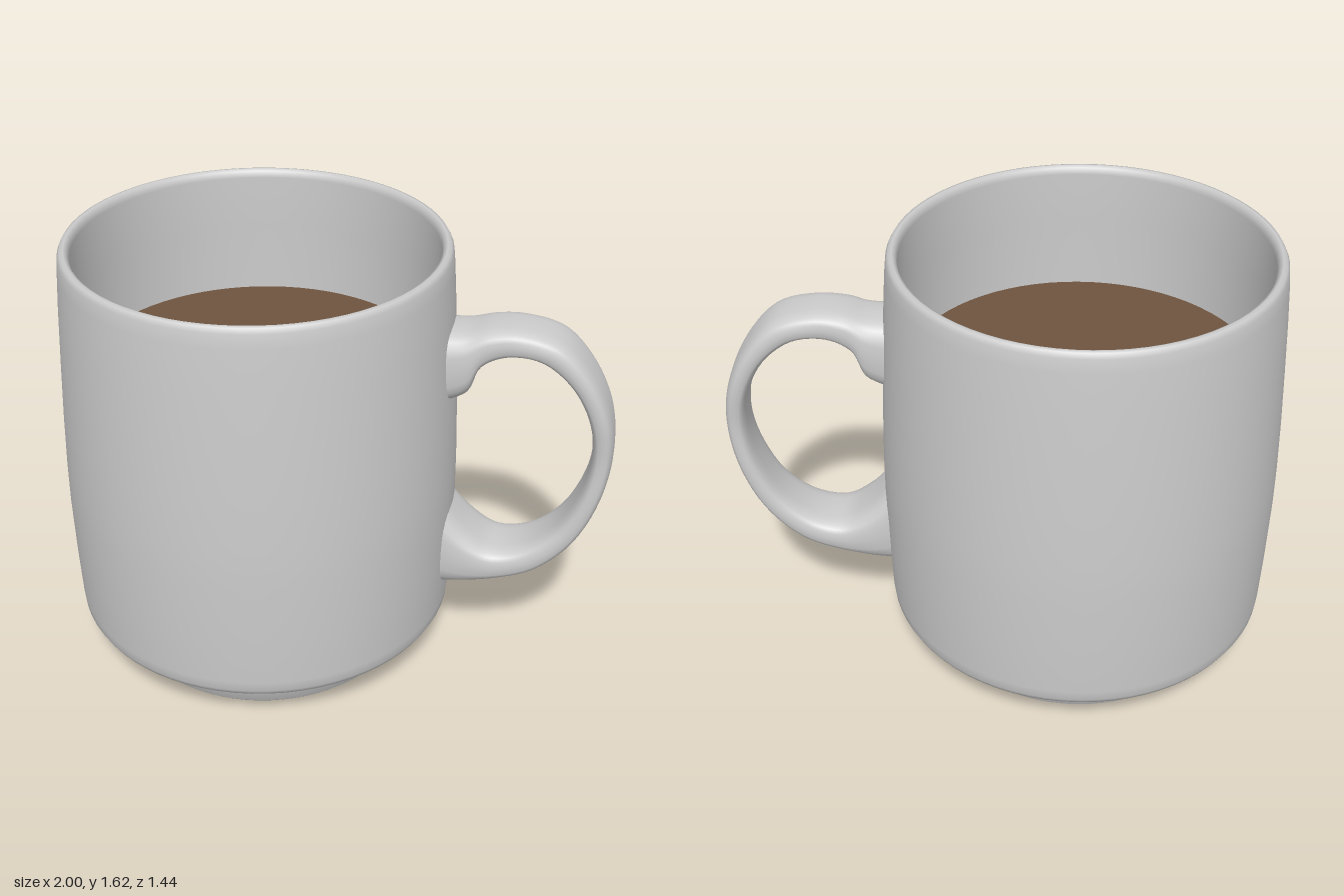
import * as THREE from 'three';

const CUP_X = -0.28; // cup axis, the handle reaches out to +x

// Handle stations from top to bottom: outer x, outer y, half width, inner x, inner y
const HANDLE = [
  [0.39, 1.37, 0.13, 0.39, 1.09],
  [0.47, 1.375, 0.125, 0.48, 1.14],
  [0.55, 1.395, 0.115, 0.52, 1.24],
  [0.66, 1.40, 0.11, 0.60, 1.29],
  [0.80, 1.36, 0.115, 0.72, 1.29],
  [0.91, 1.24, 0.115, 0.83, 1.21],
  [0.98, 1.09, 0.11, 0.905, 1.07],
  [1.00, 0.93, 0.10, 0.925, 0.93],
  [0.97, 0.74, 0.105, 0.90, 0.78],
  [0.89, 0.56, 0.11, 0.82, 0.62],
  [0.76, 0.43, 0.12, 0.71, 0.53],
  [0.62, 0.375, 0.13, 0.60, 0.51],
  [0.50, 0.345, 0.14, 0.51, 0.565],
  [0.39, 0.32, 0.145, 0.39, 0.70],
];

// Loft of rounded-rectangle sections between the outer and inner curves
function handleGeometry(rows = 64, sides = 24) {
  const outer = new THREE.CatmullRomCurve3(HANDLE.map(h => new THREE.Vector3(h[0], h[1], h[2])));
  const inner = new THREE.CatmullRomCurve3(HANDLE.map(h => new THREE.Vector3(h[3], h[4], 0)));
  const soft = v => Math.sign(v) * Math.pow(Math.abs(v), 0.65);
  const positions = [], index = [];
  for (let i = 0; i <= rows; i++) {
    const o = outer.getPoint(i / rows), n = inner.getPoint(i / rows);
    for (let j = 0; j < sides; j++) {
      const a = (j / sides) * Math.PI * 2;
      const k = (1 + soft(Math.cos(a))) / 2;
      positions.push(n.x + (o.x - n.x) * k, n.y + (o.y - n.y) * k, o.z * soft(Math.sin(a)));
      if (i === rows) continue;
      const p = i * sides + j, q = i * sides + (j + 1) % sides;
      index.push(p, q, p + sides, q, q + sides, p + sides);
    }
  }
  const g = new THREE.BufferGeometry();
  g.setAttribute('position', new THREE.Float32BufferAttribute(positions, 3));
  g.setIndex(index);
  g.computeVertexNormals();
  return g;
}

export function createModel() {
  const group = new THREE.Group();
  const ceramic = new THREE.MeshStandardMaterial({ color: 0xcccccc });
  const add = (name, geometry, material) => {
    const mesh = new THREE.Mesh(geometry, material);
    mesh.name = name;
    group.add(mesh);
    return mesh;
  };

  // Cup: recessed base, foot ring, bulging wall, rounded rim, inside wall and floor
  const profile = [
    [0, 0.1], [0.46, 0.1], [0.475, 0.095], [0.495, 0.02], [0.505, 0.003], [0.525, 0], [0.537, 0.012],
    [0.555, 0.06], [0.568, 0.1], [0.595, 0.122], [0.65, 0.15], [0.692, 0.178], [0.704, 0.2], [0.708, 0.24],
    [0.715, 0.42], [0.72, 0.65], [0.719, 0.8], [0.713, 1.0], [0.704, 1.2], [0.694, 1.4],
    [0.684, 1.55], [0.679, 1.6], [0.67, 1.617], [0.657, 1.62], [0.645, 1.613], [0.638, 1.59],
    [0.642, 1.4], [0.646, 1.1], [0.646, 0.3], [0.62, 0.23], [0.56, 0.2], [0, 0.2],
  ].map(([r, y]) => new THREE.Vector2(r, y));
  add('cup', new THREE.LatheGeometry(profile, 72), ceramic).position.x = CUP_X;

  // Handle
  add('handle', handleGeometry(), ceramic);

  // Drink surface
  const drink = add('drink', new THREE.CircleGeometry(0.648, 72), new THREE.MeshStandardMaterial({ color: 0x6f543f }));
  drink.rotation.x = -Math.PI / 2;
  drink.position.set(CUP_X, 1.13, 0);

  return group;
}
